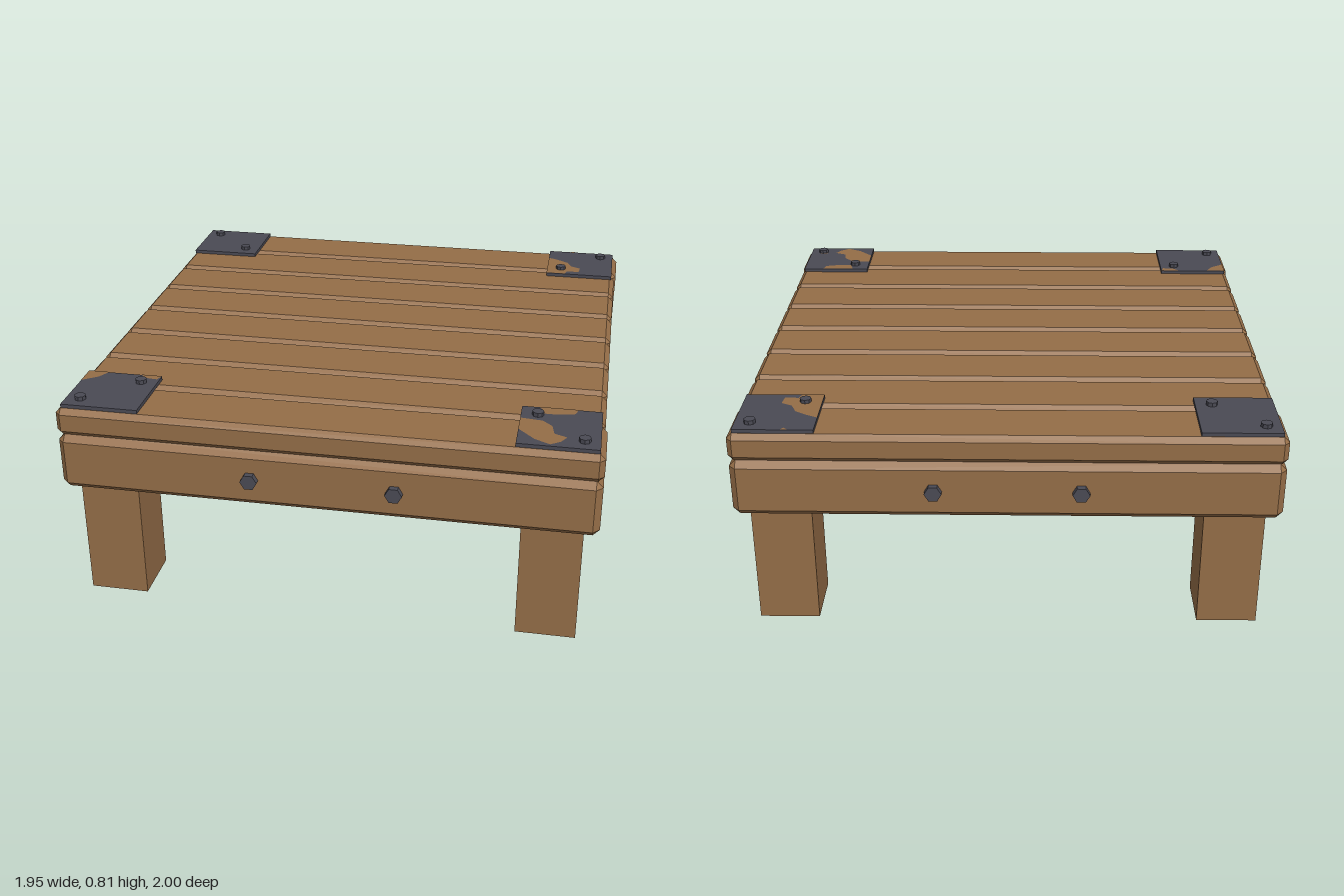
import * as THREE from 'three';
import { ConvexGeometry } from 'three/addons/geometries/ConvexGeometry.js';

const wood = new THREE.MeshStandardMaterial({ color: 0x946d47, side: THREE.DoubleSide });
wood.name = 'wood';
const iron = new THREE.MeshStandardMaterial({ color: 0x4a4a54 });
iron.name = 'iron';

// Box with every edge bevelled by c
function bevelledBox(w, h, d, c) {
  const pts = [];
  for (const x of [-1, 1]) for (const y of [-1, 1]) for (const z of [-1, 1]) {
    for (let axis = 0; axis < 3; axis++) {
      const inset = [c, c, c];
      inset[axis] = 0;
      pts.push(new THREE.Vector3(
        x * (w / 2 - inset[0]), y * (h / 2 - inset[1]), z * (d / 2 - inset[2])));
    }
  }
  return new ConvexGeometry(pts);
}

export function createModel() {
  const model = new THREE.Group();
  model.name = 'lowTable';

  function add(name, geometry, material, x, y, z) {
    const mesh = new THREE.Mesh(geometry, material);
    mesh.name = name;
    mesh.position.set(x, y, z);
    model.add(mesh);
    return mesh;
  }

  // Eight top planks, the outer two slightly longer
  const pitch = 0.2445;
  for (let i = 0; i < 8; i++) {
    const length = i === 0 || i === 7 ? 1.95 : 1.935;
    add('plank', bevelledBox(length, 0.105, 0.24, 0.02), wood, 0, 0.7305, (i - 3.5) * pitch);
  }

  // Frame rails and their bolts
  const longRail = bevelledBox(1.95, 0.215, 0.195, 0.024);
  const sideRail = bevelledBox(0.195, 0.215, 1.57, 0.024);
  const railBolt = new THREE.CylinderGeometry(0.031, 0.031, 0.04, 6).toNonIndexed();
  railBolt.computeVertexNormals();
  railBolt.rotateX(Math.PI / 2).rotateZ(Math.PI / 6);
  for (const s of [-1, 1]) {
    add('longRail', longRail, wood, 0, 0.57, s * 0.88);
    add('sideRail', sideRail, wood, s * 0.87, 0.57, 0);
    for (const x of [-0.26, 0.26]) add('railBolt', railBolt, iron, x, 0.57, s * 0.98);
  }

  // Legs are hollow square tubes, open underneath
  const leg = new THREE.CylinderGeometry(0.11 * Math.SQRT2, 0.11 * Math.SQRT2, 0.465, 4, 1, true)
    .rotateY(Math.PI / 4).toNonIndexed();
  leg.computeVertexNormals();

  // Corner plates with two bolts each
  const plate = new THREE.BoxGeometry(0.285, 0.014, 0.285);
  const plateBolt = new THREE.CylinderGeometry(0.021, 0.021, 0.03, 8).toNonIndexed();
  plateBolt.computeVertexNormals();
  for (const sx of [-1, 1]) for (const sz of [-1, 1]) {
    add('leg', leg, wood, sx * 0.812, 0.2325, sz * 0.812);
    add('cornerPlate', plate, iron, sx * 0.8125, 0.79, sz * 0.8125);
    for (const p of [0.73, 0.9]) add('plateBolt', plateBolt, iron, sx * p, 0.797, sz * p);
  }

  // Worn patches on the plates, as [x, z] outlines
  const patches = [
    [[0.67, -0.86], [0.71, -0.84], [0.755, -0.81], [0.775, -0.765], [0.815, -0.745],
      [0.81, -0.70], [0.76, -0.70], [0.75, -0.67], [0.67, -0.67]],
    [[0.76, -0.955], [0.785, -0.955], [0.775, -0.94]],
    [[0.735, 0.67], [0.87, 0.67], [0.86, 0.705], [0.80, 0.72], [0.75, 0.72]],
    [[0.67, 0.765], [0.75, 0.775], [0.785, 0.81], [0.795, 0.865], [0.84, 0.885],
      [0.82, 0.92], [0.785, 0.945], [0.73, 0.915], [0.67, 0.85]],
    [[0.88, 0.88], [0.91, 0.88], [0.915, 0.91], [0.885, 0.91]],
    [[-0.955, 0.67], [-0.875, 0.67], [-0.90, 0.715], [-0.955, 0.755]],
    [[-0.75, 0.67], [-0.67, 0.67], [-0.68, 0.70], [-0.725, 0.695]],
  ];
  for (const outline of patches) {
    const shape = new THREE.Shape(outline.map(([x, z]) => new THREE.Vector2(x, -z)));
    add('wornPatch', new THREE.ShapeGeometry(shape).rotateX(-Math.PI / 2), wood, 0, 0.7985, 0);
  }

  return model;
}
